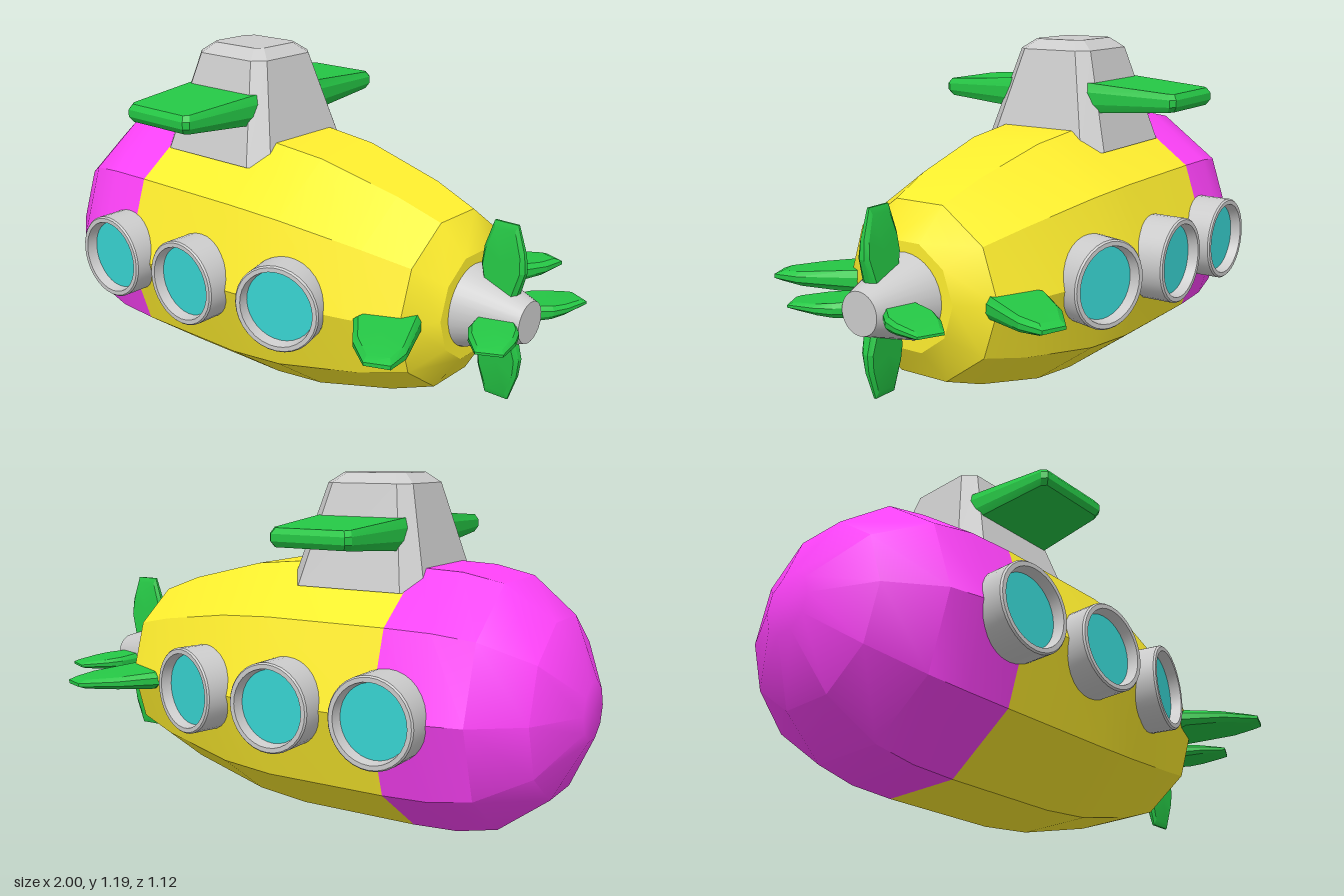
import * as THREE from 'three';
import { toCreasedNormals } from 'three/addons/utils/BufferGeometryUtils.js';

const paint = (color) => new THREE.MeshStandardMaterial({ color });
const AXIS = 0.443; // height of the hull's long axis

// Skin a list of equal-length rings and close both ends
function loft(rings, crease) {
  const pos = [];
  const tri = (...pts) => pts.forEach((p) => pos.push(p.x, p.y, p.z));
  const n = rings[0].length;
  const centre = (r) => r.reduce((s, p) => s.add(p), new THREE.Vector3()).divideScalar(n);
  const first = rings[0], last = rings[rings.length - 1];
  const c0 = centre(first), c1 = centre(last);
  for (let j = 0; j < n; j++) {
    const k = (j + 1) % n;
    for (let i = 0; i < rings.length - 1; i++) {
      const a = rings[i], b = rings[i + 1];
      tri(a[j], a[k], b[k]);
      tri(a[j], b[k], b[j]);
    }
    tri(c0, first[k], first[j]);
    tri(c1, last[j], last[k]);
  }
  const geo = new THREE.BufferGeometry();
  geo.setAttribute('position', new THREE.Float32BufferAttribute(pos, 3));
  return toCreasedNormals(geo, crease);
}

// Ten-sided hull section from [x, radius] stations
function hull(stations) {
  return loft(stations.map(([x, r]) => Array.from({ length: 10 }, (_, j) => {
    const a = (j + 0.5) * Math.PI / 5;
    return new THREE.Vector3(x, AXIS + r * Math.cos(a), r * Math.sin(a));
  })), 0.58);
}

// Bevelled blade: outline in xy, thickness in z tapering along y
function blade(outline, rootHalf, tipHalf, inset) {
  const ys = outline.map((p) => p[1]);
  const y0 = Math.min(...ys), y1 = Math.max(...ys);
  const cx = outline.reduce((s, p) => s + p[0], 0) / outline.length;
  const cy = (y0 + y1) / 2;
  const ring = (scale, f) => outline.map(([x, y]) => {
    const py = cy + (y - cy) * scale;
    const half = THREE.MathUtils.mapLinear(py, y0, y1, rootHalf, tipHalf);
    return new THREE.Vector3(cx + (x - cx) * scale, py, half * f);
  });
  return loft([ring(inset, -1), ring(1, -0.4), ring(1, 0.4), ring(inset, 1)], 0.3);
}

// Rectangle with cut corners at height y
function towerRing(y, x0, x1, hz, cut) {
  const pts = [
    [x0 + cut, hz], [x1 - cut, hz], [x1, hz - cut], [x1, cut - hz],
    [x1 - cut, -hz], [x0 + cut, -hz], [x0, cut - hz], [x0, hz - cut],
  ];
  return pts.map(([x, z]) => new THREE.Vector3(x, y, z));
}

export function createModel() {
  const model = new THREE.Group();
  model.name = 'submarine';
  const grey = paint(0xcccccc), yellow = paint(0xffee2e), magenta = paint(0xff42fa);
  const green = paint(0x25c745), glass = paint(0x38d4d2);
  const add = (name, geo, mat, parent = model) => {
    const mesh = new THREE.Mesh(geo, mat);
    mesh.name = name;
    parent.add(mesh);
    return mesh;
  };

  // Hull
  add('nose', hull([[-1, 0.1], [-0.9, 0.305], [-0.74, 0.428], [-0.6, 0.458], [-0.44, 0.465]]), magenta);
  add('hull', hull([[-0.44, 0.465], [0, 0.463], [0.2, 0.442], [0.5, 0.365], [0.66, 0.304], [0.735, 0.186]]), yellow);

  // Tower and its bow planes
  add('tower', loft([
    towerRing(0.81, -0.49, 0.018, 0.253, 0.06),
    towerRing(1.155, -0.4, -0.075, 0.148, 0.04),
    towerRing(1.19, -0.355, -0.12, 0.1, 0.025),
  ], 0.3), grey);
  const wingGeo = blade([
    [-0.415, 0.13], [-0.06, 0.13], [-0.085, 0.475], [-0.1, 0.493], [-0.37, 0.493], [-0.385, 0.475],
  ], 0.056, 0.03, 0.93);

  // Stern planes and horizontal blades share the side loop with the wings
  const finGeo = blade([
    [0.51, 0.27], [0.65, 0.2], [0.757, 0.44], [0.767, 0.53], [0.69, 0.562], [0.585, 0.48], [0.49, 0.36],
  ], 0.043, 0.014, 0.85);
  const propGeo = blade([
    [-0.04, 0.02], [0.04, 0.02], [0.078, 0.16], [0.072, 0.22], [0.042, 0.312],
    [-0.042, 0.312], [-0.072, 0.22], [-0.078, 0.16],
  ], 0.034, 0.01, 0.86);

  // Portholes: rim faces local +z, outer face at z = 0
  const rimProfile = [[0.15, -0.16], [0.15, -0.006], [0.145, 0], [0.13, 0], [0.122, -0.04]];
  const rimGeo = toCreasedNormals(
    new THREE.LatheGeometry(rimProfile.map(([x, y]) => new THREE.Vector2(x, y)), 32).rotateX(Math.PI / 2), 0.6);
  const paneGeo = new THREE.CircleGeometry(0.126, 32).translate(0, 0, -0.036);
  const windows = [[-0.477, 0.528, 0], [-0.103, 0.53, 0], [0.288, 0.472, 0.29]];

  for (const side of [1, -1]) {
    const label = side > 0 ? 'Front' : 'Back';
    const turn = side * Math.PI / 2;
    const wing = add('wing' + label, wingGeo, green);
    wing.position.set(0, 0.993, -0.006);
    wing.rotation.x = turn;

    const fin = add('sternFin' + label, finGeo, green);
    fin.position.set(side > 0 ? 0.03 : 0, 0.437, -0.004);
    fin.rotation.x = turn;

    const swept = add('sweptBlade' + label, propGeo, green);
    swept.position.set(0.822, 0.437, -0.012);
    swept.rotation.set(turn, 0, -0.47);

    const upright = add(side > 0 ? 'upperBlade' : 'lowerBlade', propGeo, green);
    upright.position.set(0.845, side > 0 ? AXIS : 0.465, 0.004);
    upright.rotation.x = side > 0 ? 0 : Math.PI;

    windows.forEach(([x, z, yaw], i) => {
      const port = new THREE.Group();
      port.name = 'porthole' + label + (i + 1);
      port.position.set(x, 0.447, side * z - 0.006);
      port.rotation.y = side > 0 ? yaw : Math.PI - yaw;
      add('rim', rimGeo, grey, port);
      add('pane', paneGeo, glass, port);
      model.add(port);
    });
  }

  // Tail cone
  const cone = add('tailCone', new THREE.CylinderGeometry(0.07, 0.146, 0.22, 32).rotateZ(-Math.PI / 2), grey);
  cone.position.set(0.836, AXIS, 0);

  return model;
}
